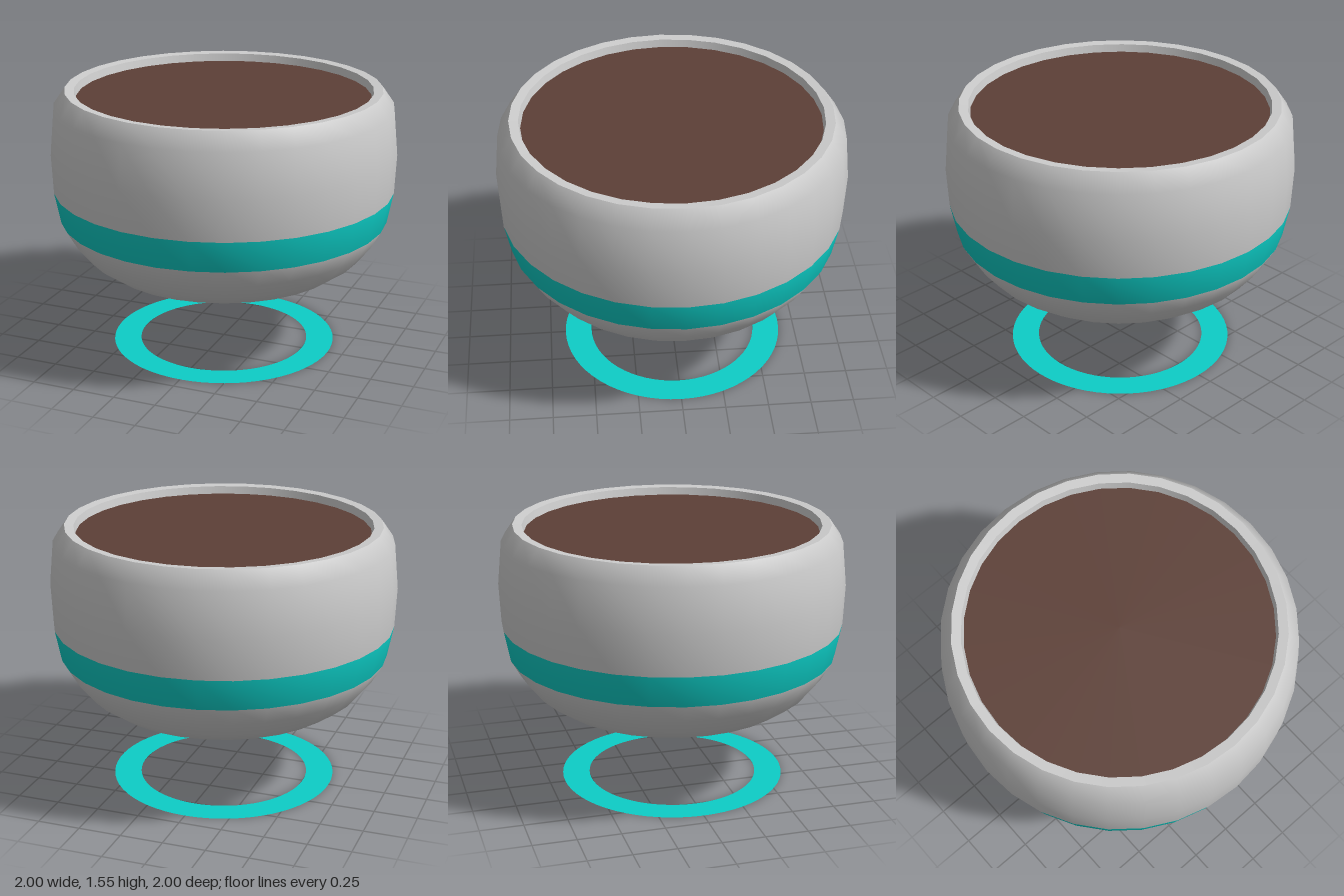
import * as THREE from 'three';

const SIDES = 32;
const lathe = (pts) =>
  new THREE.LatheGeometry(pts.map(([r, y]) => new THREE.Vector2(r, y)), SIDES);

// Keeps only the lathe rows from profile point a to b, with the shared smooth normals
function rows(geometry, count, a, b) {
  const all = geometry.index.array, kept = [];
  for (let s = 0; s < SIDES; s++)
    for (let j = a; j < b; j++) {
      const k = (s * (count - 1) + j) * 6;
      for (let n = 0; n < 6; n++) kept.push(all[k + n]);
    }
  const part = geometry.clone();
  part.setIndex(kept);
  return part;
}

export function createModel() {
  const shellGrey = new THREE.MeshStandardMaterial({ color: 0xcccccc });
  const turquoise = new THREE.MeshStandardMaterial({ color: 0x0dcdc6, side: THREE.DoubleSide });
  const soilBrown = new THREE.MeshStandardMaterial({ color: 0x5d4037 });

  const model = new THREE.Group();
  model.name = 'hoveringPlanter';
  const add = (name, geometry, material) => {
    const mesh = new THREE.Mesh(geometry, material);
    mesh.name = name;
    model.add(mesh);
    return mesh;
  };

  // Outer wall, from the centre of the base up to the lip
  const wall = [
    [0, 0.49], [0.53, 0.49], [0.655, 0.495], [0.71, 0.51], [0.815, 0.585], [0.895, 0.685],
    [0.955, 0.79], [0.99, 0.97], [1, 1.2], [0.975, 1.455], [0.908, 1.55],
  ];
  const wallGeometry = lathe(wall);
  add('lowerBowl', rows(wallGeometry, wall.length, 0, 6), shellGrey);
  add('colourBand', rows(wallGeometry, wall.length, 6, 7), turquoise);
  add('upperBowl', rows(wallGeometry, wall.length, 7, 10), shellGrey);

  // Flat rim and the short inner wall down to the soil
  add('rim', lathe([[0.908, 1.55], [0.855, 1.545]]), shellGrey);
  add('innerWall', lathe([[0.855, 1.545], [0.845, 1.5]]), shellGrey);

  // Soil surface
  const soil = add('soil', new THREE.CircleGeometry(0.846, SIDES), soilBrown);
  soil.rotation.x = -Math.PI / 2;
  soil.position.y = 1.5;

  // Flat ring on the ground beneath the bowl
  const ring = add('groundRing', new THREE.RingGeometry(0.5, 0.66, 64), turquoise);
  ring.rotation.x = -Math.PI / 2;

  return model;
}
